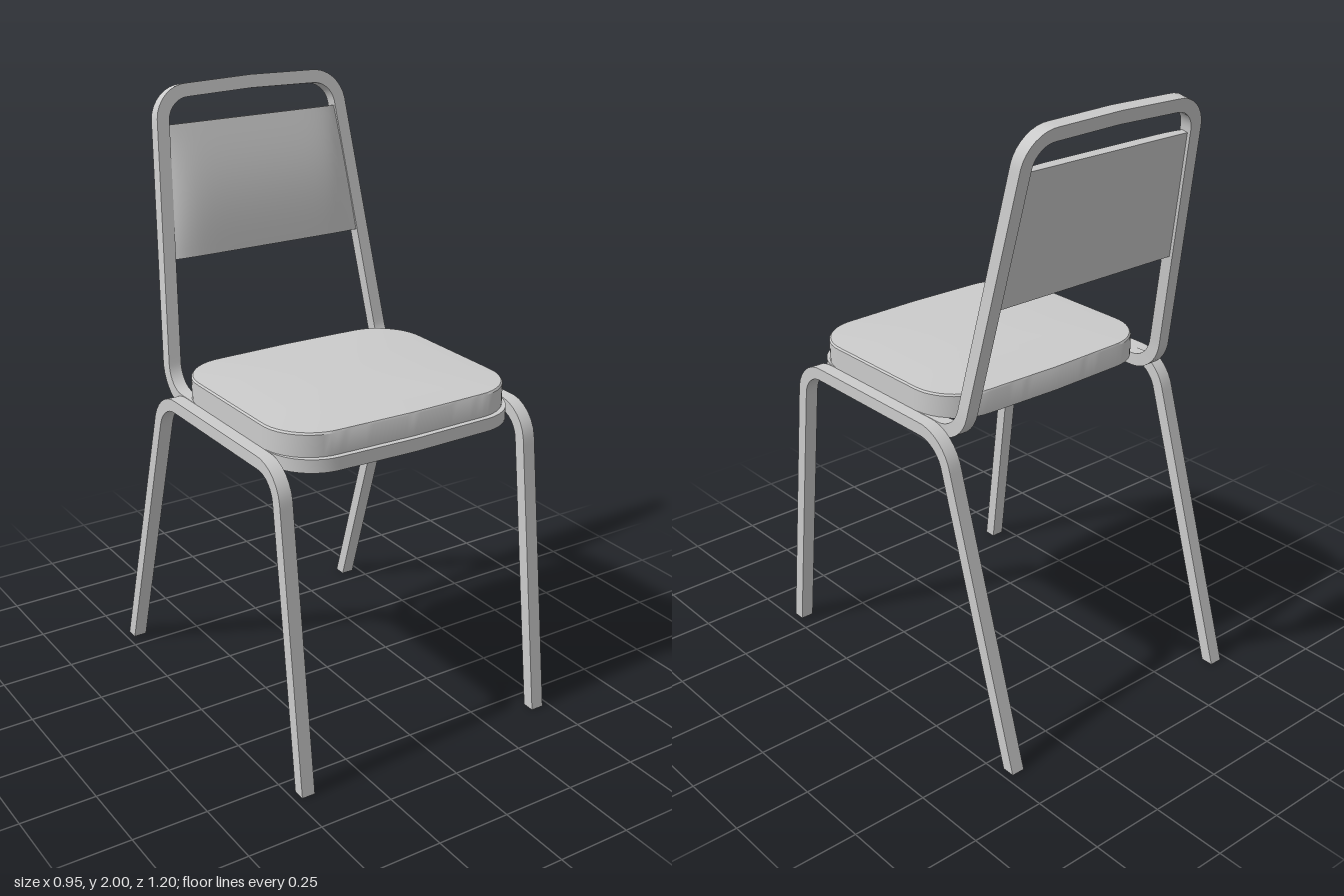
import * as THREE from 'three';
import { toCreasedNormals } from 'three/addons/utils/BufferGeometryUtils.js';

const material = new THREE.MeshStandardMaterial({ color: 0xcccccc });

// Path through 2D points with corners rounded by the given radii
function roundedPath(points, closed) {
  const path = new THREE.Path();
  const n = points.length;
  const at = (i) => new THREE.Vector2(points[(i + n) % n][0], points[(i + n) % n][1]);
  points.forEach(([x, y, r = 0], i) => {
    if (i === 0) { path.moveTo(x, y); return; }
    if (!r) { path.lineTo(x, y); return; }
    const p = at(i);
    const before = at(i - 1).sub(p).normalize();
    const after = at(i + 1).sub(p).normalize();
    const on = (dir, d) => p.clone().addScaledVector(dir, d);
    const a = on(before, r), b = on(before, r * 0.45), c = on(after, r * 0.45), d = on(after, r);
    path.lineTo(a.x, a.y);
    path.bezierCurveTo(b.x, b.y, c.x, c.y, d.x, d.y);
  });
  if (closed) path.lineTo(points[0][0], points[0][1]);
  return path;
}

// Skin a list of rings, each counterclockwise about the direction of travel
function loft(name, rings, closed = false) {
  const pos = [];
  const tri = (...corners) => corners.forEach((v) => pos.push(v.x, v.y, v.z));
  const count = rings.length, m = rings[0].length;
  for (let i = 0; i < (closed ? count : count - 1); i++) {
    const r = rings[i], s = rings[(i + 1) % count];
    for (let j = 0; j < m; j++) {
      const k = (j + 1) % m;
      tri(r[j], r[k], s[k]);
      tri(r[j], s[k], s[j]);
    }
  }
  if (!closed) {
    const first = rings[0], last = rings[count - 1];
    for (let j = 1; j < m - 1; j++) {
      tri(first[0], first[j + 1], first[j]);
      tri(last[0], last[j], last[j + 1]);
    }
  }
  const geometry = new THREE.BufferGeometry();
  geometry.setAttribute('position', new THREE.Float32BufferAttribute(pos, 3));
  const mesh = new THREE.Mesh(toCreasedNormals(geometry, 0.6), material);
  mesh.name = name;
  return mesh;
}

// Square tube along a 2D path, placed in space by place(u, v, n)
function squareTube(name, path, steps, halfWidth, halfDepth, place, closed) {
  const pts = path.getSpacedPoints(steps);
  if (closed) pts.pop();
  const n = pts.length;
  const rings = pts.map((p, i) => {
    const prev = closed ? pts[(i + n - 1) % n] : pts[Math.max(i - 1, 0)];
    const next = closed ? pts[(i + 1) % n] : pts[Math.min(i + 1, n - 1)];
    const t = next.clone().sub(prev).normalize();
    // Open ends are cut level with the floor
    const end = !closed && (i === 0 || i === n - 1);
    const side = end ? new THREE.Vector2(-1 / t.y, 0) : new THREE.Vector2(-t.y, t.x);
    return [[1, 1], [-1, 1], [-1, -1], [1, -1]].map(([a, b]) =>
      place(p.x + side.x * a * halfWidth, p.y + side.y * a * halfWidth, b * halfDepth));
  });
  return loft(name, rings, closed);
}

// Sheet that runs flat under the seat, then bends up into the leaning back
const BEND = Math.atan(5), RADIUS = 0.11;
function sheet(x, s, n) {
  const a = Math.min(Math.max(s / RADIUS, 0), BEND);
  const straight = s < 0 ? s : Math.max(s - BEND * RADIUS, 0);
  const y = 1.03 + RADIUS * (1 - Math.cos(a)) + straight * Math.sin(a) + n * Math.cos(a);
  const z = -0.202 - RADIUS * Math.sin(a) - straight * Math.cos(a) + n * Math.sin(a);
  return new THREE.Vector3(x, y, z);
}

// One closed tube loop carries the seat and forms the back
function seatAndBackFrame() {
  const half = [[0.408, -0.672, 0.135], [0.408, 0], [0.403, 0.151], [0.327, 1.016, 0.085]];
  const mirrored = half.map(([x, s, r]) => [-x, s, r]).reverse();
  const outline = [[0, -0.684], ...half, [0, 1.024], ...mirrored];
  return squareTube('seatAndBackFrame', roundedPath(outline, true), 260, 0.0215, 0.0215, sheet, true);
}

// Bent tube forming a front leg, side rail and rear leg
function legFrame(name, x) {
  const path = roundedPath([[0.58, 0], [0.455, 1.03, 0.09], [-0.26, 1.03, 0.09], [-0.577, 0]], false);
  return squareTube(name, path, 120, 0.0205, 0.0225, (z, y, n) => new THREE.Vector3(x - n, y, z), false);
}

// Cushion with rounded corners and a gently domed top
function seatCushion() {
  const outline = roundedPath([
    [0, -0.371], [0.43, -0.36, 0.16], [0.43, 0.36, 0.16],
    [0, 0.371], [-0.43, 0.36, 0.16], [-0.43, -0.36, 0.16],
  ].concat([[0, -0.371]]), false).getSpacedPoints(120);
  outline.pop();
  const levels = [[1, 1.05], [1, 1.122], [0.99, 1.128], [0.8, 1.133], [0.5, 1.138], [0.2, 1.14], [0.01, 1.14]];
  return loft('seatCushion', levels.map(([k, y]) =>
    outline.map((p) => new THREE.Vector3(p.x * k, y, 0.113 - p.y * k))));
}

// Back panel between the posts: flat behind, padded in front
function backPanel() {
  const rings = [], across = 32, along = 14;
  for (let i = 0; i <= across; i++) {
    const u = (i / across) * 2 - 1;
    const ring = [];
    const add = (v, front) => {
      const s = 0.487 + 0.428 * v;
      const x = u * (0.393 - 0.0878 * (s - 0.151));
      const pad = 0.01 + (1 - u ** 8) * (0.01 + 0.018 * Math.sin(Math.PI * v) + 0.008 * (1 - v));
      ring.push(sheet(x, s, front ? pad : -0.01));
    };
    for (let j = 0; j <= along; j++) add(j / along, false);
    for (let j = along; j >= 0; j--) add(j / along, true);
    rings.push(ring);
  }
  return loft('backPanel', rings);
}

export function createModel() {
  const chair = new THREE.Group();
  chair.name = 'chair';
  chair.add(
    seatAndBackFrame(),
    legFrame('leftLegFrame', 0.4525),
    legFrame('rightLegFrame', -0.4525),
    seatCushion(),
    backPanel(),
  );
  return chair;
}
